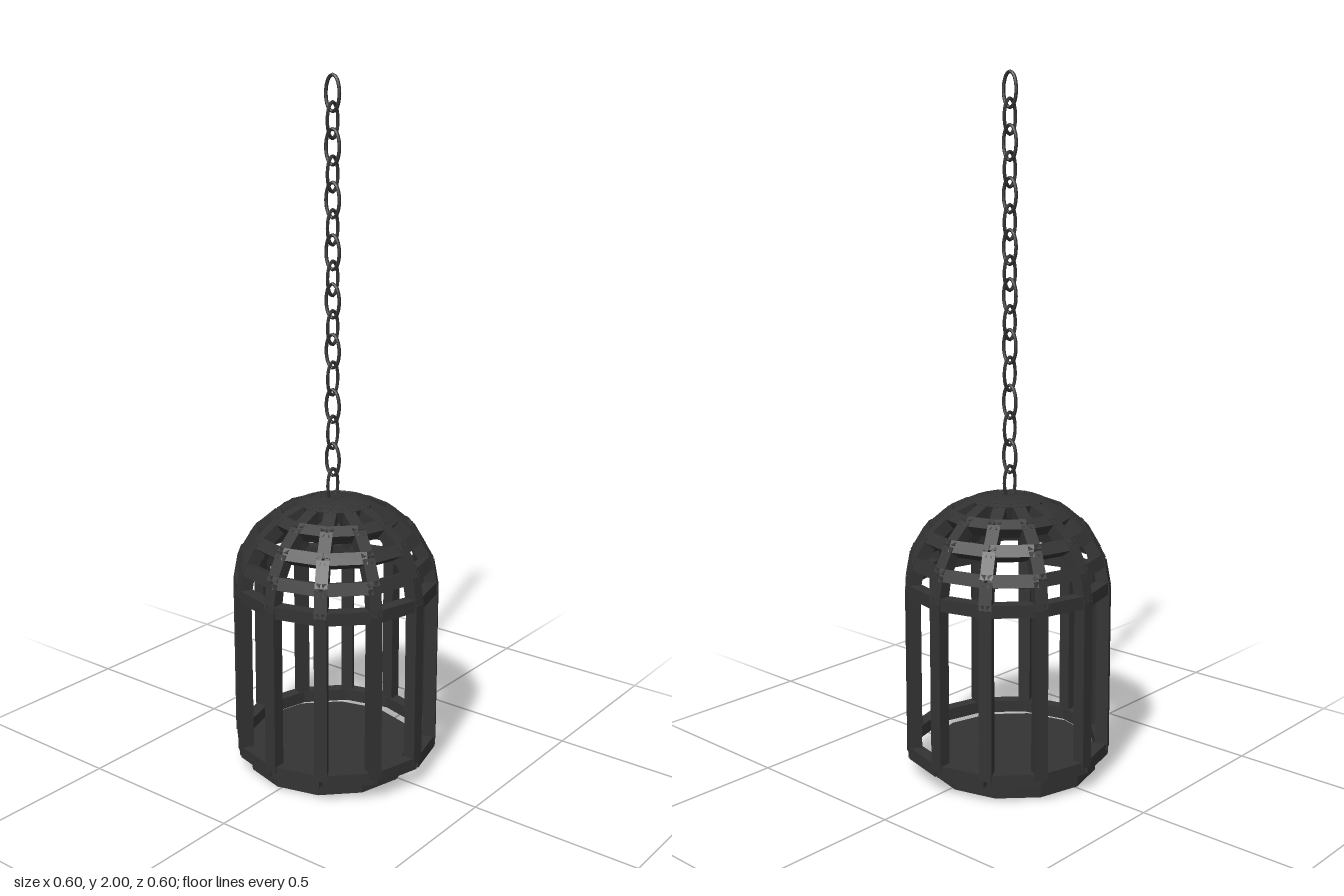
import * as THREE from 'three';

const SIDES = 12;
const THICK = 0.036;   // bar thickness
const RADIUS = 0.283;  // bar centre line
const LOW = 0.072, HIGH = 0.56, DOME = 0.245;

const iron = new THREE.MeshStandardMaterial({ color: 0x333333, flatShading: true });

// Square bar from a to b with one face turned toward the outward direction
function bar(name, a, b, outward) {
  const along = b.clone().sub(a);
  const mesh = new THREE.Mesh(new THREE.BoxGeometry(THICK, along.length(), THICK), iron);
  along.normalize();
  const side = along.clone().cross(outward).normalize();
  const out = side.clone().cross(along);
  mesh.quaternion.setFromRotationMatrix(new THREE.Matrix4().makeBasis(side, along, out));
  mesh.position.copy(a).lerp(b, 0.5);
  mesh.name = name;
  return mesh;
}

// Oval chain link standing in the xy plane
function linkGeometry() {
  const points = [];
  for (let i = 0; i < 12; i++) {
    const t = (i / 12) * Math.PI * 2;
    points.push(new THREE.Vector3(Math.cos(t) * 0.023, Math.sin(t) * 0.048, 0));
  }
  return new THREE.TubeGeometry(new THREE.CatmullRomCurve3(points, true), 24, 0.005, 6, true);
}

export function createModel() {
  const model = new THREE.Group();
  model.name = 'hangingCage';

  // Levels of the cage from the bottom ring up to the dome's crown
  const levels = [{ y: LOW, r: RADIUS, tilt: 0 }];
  for (let i = 0; i < 5; i++) {
    const t = (i * Math.PI) / 10;
    levels.push({ y: HIGH + DOME * Math.sin(t), r: RADIUS * Math.cos(t), tilt: t });
  }
  levels.push({ y: HIGH + DOME, r: 0, tilt: Math.PI / 2 });

  const point = (level, k) => {
    const a = (k / SIDES) * Math.PI * 2;
    return new THREE.Vector3(level.r * Math.cos(a), level.y, level.r * Math.sin(a));
  };
  const normal = (k, tilt) => {
    const a = (k / SIDES) * Math.PI * 2;
    return new THREE.Vector3(
      Math.cos(a) * Math.cos(tilt), Math.sin(tilt), Math.sin(a) * Math.cos(tilt));
  };

  // Rings, posts and dome ribs
  const cage = new THREE.Group();
  cage.name = 'cage';
  levels.forEach((level, i) => {
    const next = levels[i + 1];
    if (!next) return;
    for (let k = 0; k < SIDES; k++) {
      cage.add(bar('ringBar', point(level, k), point(level, k + 1), normal(k + 0.5, level.tilt)));
      const tilt = (level.tilt + next.tilt) / 2;
      cage.add(bar(i === 0 ? 'post' : 'domeRib', point(level, k), point(next, k), normal(k, tilt)));
    }
  });
  model.add(cage);

  // Solid floor
  const floor = new THREE.Mesh(new THREE.CylinderGeometry(0.247, 0.247, 0.056, SIDES), iron);
  floor.name = 'floor';
  floor.position.set(-0.014, 0.028, 0.008);
  model.add(floor);

  // Chain of links turned alternately by a quarter
  const chain = new THREE.Group();
  chain.name = 'chain';
  const geometry = linkGeometry();
  const heights = [1.947, 1.876, 1.806, 1.734, 1.664, 1.59, 1.522, 1.45,
    1.387, 1.312, 1.245, 1.167, 1.087, 1.01, 0.93, 0.855];
  heights.forEach((y, i) => {
    const link = new THREE.Mesh(geometry, iron);
    link.name = 'chainLink';
    link.position.y = y;
    link.rotation.y = (i % 2) * Math.PI / 2;
    chain.add(link);
  });
  chain.position.set(-0.008, 0, 0.002);
  model.add(chain);

  return model;
}
